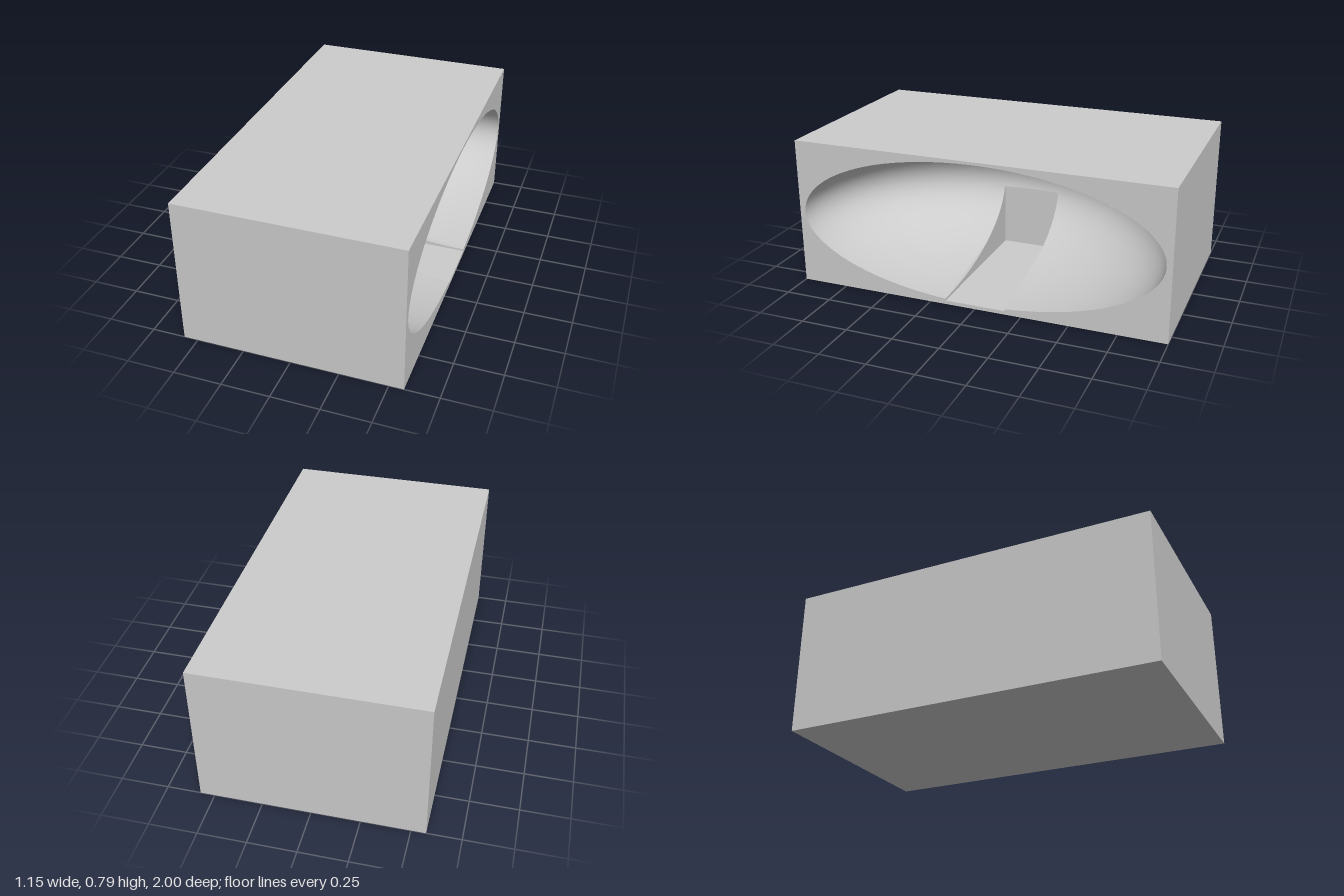
import * as THREE from 'three';

const W = 1.15, H = 0.79, D = 2;                // block size
const FRONT = W / 2;                            // plane of the opening
const A = 0.85, B = 0.375, C = 0.97, CY = 0.4;  // bowl radii (x, y, z) and centre height
const SLOT = 0.163, FLOOR = 0.02, TOP = 0.365;  // slot half width, floor and top
const BACK = FRONT - 0.842;                     // back wall of the slot

const V0 = (TOP - CY) / B, W0 = SLOT / C;       // slot in unit-circle coordinates
// Angle, measured from straight up, at which the slot side meets the rim
const CORNER = Math.PI - Math.atan2(W0, Math.sqrt(1 - W0 * W0) + V0);

// Distance from the ray centre to the unit rim at angle t
const rimDistance = (t) => {
  const b = V0 * Math.cos(t);
  return -b + Math.sqrt(b * b + 1 - V0 * V0);
};
const unitPoint = (t, r) => [r * Math.sin(t), V0 + r * Math.cos(t)];

// Smooth sector of the bowl between two angles, starting at distance inner(t)
function bowlSector(from, to, columns, inner) {
  const rows = 24, pos = [], nor = [], idx = [];
  for (let j = 0; j <= columns; j++) {
    const t = from + (to - from) * j / columns;
    const r0 = inner(t), r1 = rimDistance(t);
    for (let i = 0; i <= rows; i++) {
      const r = r0 + (r1 - r0) * Math.sin(i / rows * Math.PI / 2);
      const [w, v] = unitPoint(t, r);
      const s = Math.sqrt(Math.max(0, 1 - w * w - v * v));
      pos.push(FRONT - A * s, CY + B * v, C * w);
      const n = new THREE.Vector3(s / A, -v / B, -w / C).normalize();
      nor.push(n.x, n.y, n.z);
      if (i < rows && j < columns) {
        const a = j * (rows + 1) + i, b = a + rows + 1;
        idx.push(a, a + 1, b + 1, a, b + 1, b);
      }
    }
  }
  const g = new THREE.BufferGeometry();
  g.setAttribute('position', new THREE.Float32BufferAttribute(pos, 3));
  g.setAttribute('normal', new THREE.Float32BufferAttribute(nor, 3));
  g.setIndex(idx);
  return g;
}

export function createModel() {
  const group = new THREE.Group();
  const material = new THREE.MeshStandardMaterial({ color: 0xcccccc, side: THREE.DoubleSide });
  const add = (name, geometry, x = 0, y = 0, z = 0) => {
    const mesh = new THREE.Mesh(geometry, material);
    mesh.name = name;
    mesh.position.set(x, y, z);
    group.add(mesh);
  };

  // Block shell: a box without its +x side
  const shell = new THREE.BoxGeometry(W, H, D);
  shell.setIndex(Array.from(shell.index.array).slice(6));
  add('blockShell', shell, 0, H / 2, 0);

  // Face around the opening, cut by the oval rim and the slot mouth
  const face = new THREE.Shape();
  face.moveTo(-D / 2, 0).lineTo(D / 2, 0).lineTo(D / 2, H).lineTo(-D / 2, H).closePath();
  const outline = [new THREE.Vector2(-SLOT, FLOOR)];
  for (let j = 0; j <= 72; j++) {
    const t = -CORNER + 2 * CORNER * j / 72;
    const [w, v] = unitPoint(t, rimDistance(t));
    outline.push(new THREE.Vector2(C * w, CY + B * v));
  }
  outline.push(new THREE.Vector2(SLOT, FLOOR));
  face.holes.push(new THREE.Path(outline));
  add('openingFace', new THREE.ShapeGeometry(face).rotateY(Math.PI / 2), FRONT);

  // Bowl: upper half, then the two lower sectors beside the slot
  const q = Math.PI / 2;
  const besideSlot = (t) => W0 / Math.abs(Math.sin(t));
  add('bowlUpper', bowlSector(-q, q, 40, () => 0));
  add('bowlLowerLeft', bowlSector(q, CORNER, 20, besideSlot));
  add('bowlLowerRight', bowlSector(-CORNER, -q, 20, besideSlot));

  // Slot floor and back wall
  const depth = FRONT - BACK;
  add('slotFloor', new THREE.PlaneGeometry(depth, 2 * SLOT).rotateX(-q), (FRONT + BACK) / 2, FLOOR, 0);
  add('slotBack', new THREE.PlaneGeometry(2 * SLOT, TOP - FLOOR).rotateY(q), BACK, (TOP + FLOOR) / 2, 0);

  // Slot sides, whose upper edge follows the bowl
  const side = new THREE.Shape();
  side.moveTo(FRONT, FLOOR).lineTo(BACK, FLOOR).lineTo(BACK, TOP);
  const k = Math.sqrt(1 - W0 * W0), start = Math.asin(-V0 / k);
  for (let i = 0; i <= 24; i++) {
    const t = start + (q - start) * i / 24;
    side.lineTo(FRONT - A * k * Math.cos(t), CY - B * k * Math.sin(t));
  }
  side.closePath();
  add('slotSideLeft', new THREE.ShapeGeometry(side), 0, 0, SLOT);
  add('slotSideRight', new THREE.ShapeGeometry(side), 0, 0, -SLOT);

  return group;
}
